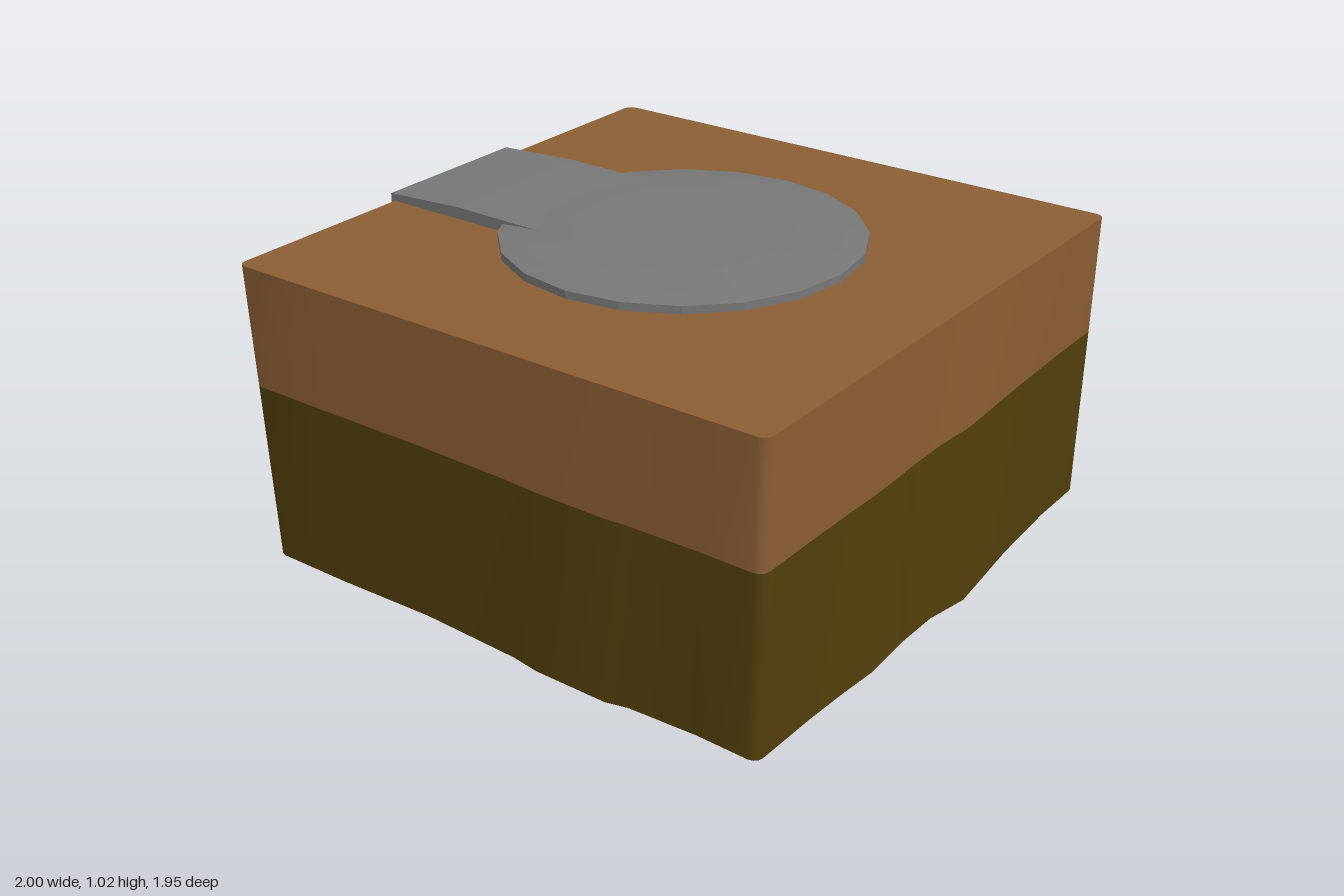
import * as THREE from 'three';
import { toCreasedNormals } from 'three/addons/utils/BufferGeometryUtils.js';

const TOP = 0.977, SEAM = 0.585;
const X0 = -0.93, X1 = 0.965, Z0 = -0.94, Z1 = 0.955, R = 0.03;

// Foot outline of each wall: [position along the wall, foot position across it]
const FRONT = [[-0.6, 0.95], [-0.25, 0.94], [0.1, 0.955], [0.2, 0.97], [0.45, 0.972], [0.52, 0.955], [0.75, 0.945]];
const RIGHT = [[0.7, 0.955], [0.55, 0.963], [0.4, 0.975], [0.22, 0.965], [0.06, 0.968], [-0.09, 0.997], [-0.42, 0.965], [-0.7, 0.95]];
const BACK = [[0.9, -0.945], [0.71, -0.97], [0.45, -0.945], [0.2, -0.965], [-0.07, -0.98], [-0.4, -0.94], [-0.7, -0.935]];
const LEFT = [[-0.85, -0.955], [-0.68, -0.972], [-0.4, -0.93], [-0.12, -0.95], [0.1, -0.975], [0.27, -1], [0.62, -0.93], [0.8, -0.905]];

// Rounded corner at the rim; the foot is shifted by (dx, dz)
function corner(cx, cz, startAngle, dx, dz) {
  return [0, 1, 2, 3].map((i) => {
    const a = startAngle - (i / 3) * Math.PI / 2;
    const x = cx + R * Math.cos(a), z = cz + R * Math.sin(a);
    return { top: [x, z], foot: [x + dx, z + dz] };
  });
}

// Pairs of rim and foot points, running front, right, back, left
function outline() {
  const alongX = (list, rimZ) => list.map(([x, z]) => ({ top: [x, rimZ], foot: [x, z] }));
  const alongZ = (list, rimX) => list.map(([z, x]) => ({ top: [rimX, z], foot: [x, z] }));
  const H = Math.PI / 2;
  return [
    ...alongX(FRONT, Z1), ...corner(X1 - R, Z1 - R, H, -0.015, -0.005),
    ...alongZ(RIGHT, X1), ...corner(X1 - R, Z0 + R, 0, -0.015, 0.005),
    ...alongX(BACK, Z0), ...corner(X0 + R, Z0 + R, -H, -0.008, 0),
    ...alongZ(LEFT, X0), ...corner(X0 + R, Z1 - R, -2 * H, 0.045, -0.005),
  ];
}

// Band of wall between two heights
function wallBand(ring, yLow, yHigh) {
  const at = ({ top, foot }, y) => {
    const t = y / TOP;
    return [foot[0] + (top[0] - foot[0]) * t, y, foot[1] + (top[1] - foot[1]) * t];
  };
  const positions = [];
  ring.forEach((p, i) => {
    const q = ring[(i + 1) % ring.length];
    const a = at(p, yLow), b = at(q, yLow), c = at(q, yHigh), d = at(p, yHigh);
    positions.push(...a, ...b, ...c, ...a, ...c, ...d);
  });
  const geometry = new THREE.BufferGeometry();
  geometry.setAttribute('position', new THREE.Float32BufferAttribute(positions, 3));
  return toCreasedNormals(geometry, 0.6);
}

export function createModel() {
  const model = new THREE.Group();
  model.name = 'landingPadOnGround';
  const material = (color, extra = {}) => new THREE.MeshStandardMaterial({ color, ...extra });
  const open = { side: THREE.DoubleSide };
  const soil = material(0x8b5e34, open);
  const earth = material(0x523f0c, open);
  const concrete = material(0x777777, { flatShading: true });
  const add = (name, geometry, mat) => {
    const mesh = new THREE.Mesh(geometry, mat);
    mesh.name = name;
    model.add(mesh);
    return mesh;
  };

  // Hollow ground block, open underneath
  const ring = outline();
  add('lowerEarth', wallBand(ring, 0, SEAM), earth);
  add('upperSoil', wallBand(ring, SEAM, TOP), soil);
  const rim = new THREE.Shape(ring.map(({ top }) => new THREE.Vector2(top[0], -top[1])));
  add('groundTop', new THREE.ShapeGeometry(rim).rotateX(-Math.PI / 2).translate(0, TOP, 0), soil);

  // Round pad with a slightly domed top
  const profile = [[0, 0.95], [0.568, 0.95], [0.568, 1.002], [0.5, 1.01], [0.34, 1.021], [0, 1.023]]
    .map(([r, y]) => new THREE.Vector2(r, y));
  add('landingPad', new THREE.LatheGeometry(profile, 20), concrete).position.set(0.015, 0, 0.01);

  // Path from the pad to the edge, deeper towards its outer end
  const side = new THREE.Shape([[-0.945, 0.83], [-0.1, 0.95], [-0.1, 1.012], [-0.4, 1.014], [-0.65, 1.016], [-0.945, 1]]
    .map(([x, y]) => new THREE.Vector2(x, y)));
  const path = new THREE.ExtrudeGeometry(side, { depth: 0.56, bevelEnabled: false });
  add('accessPath', path.translate(0, 0, -0.27), concrete);

  return model;
}
